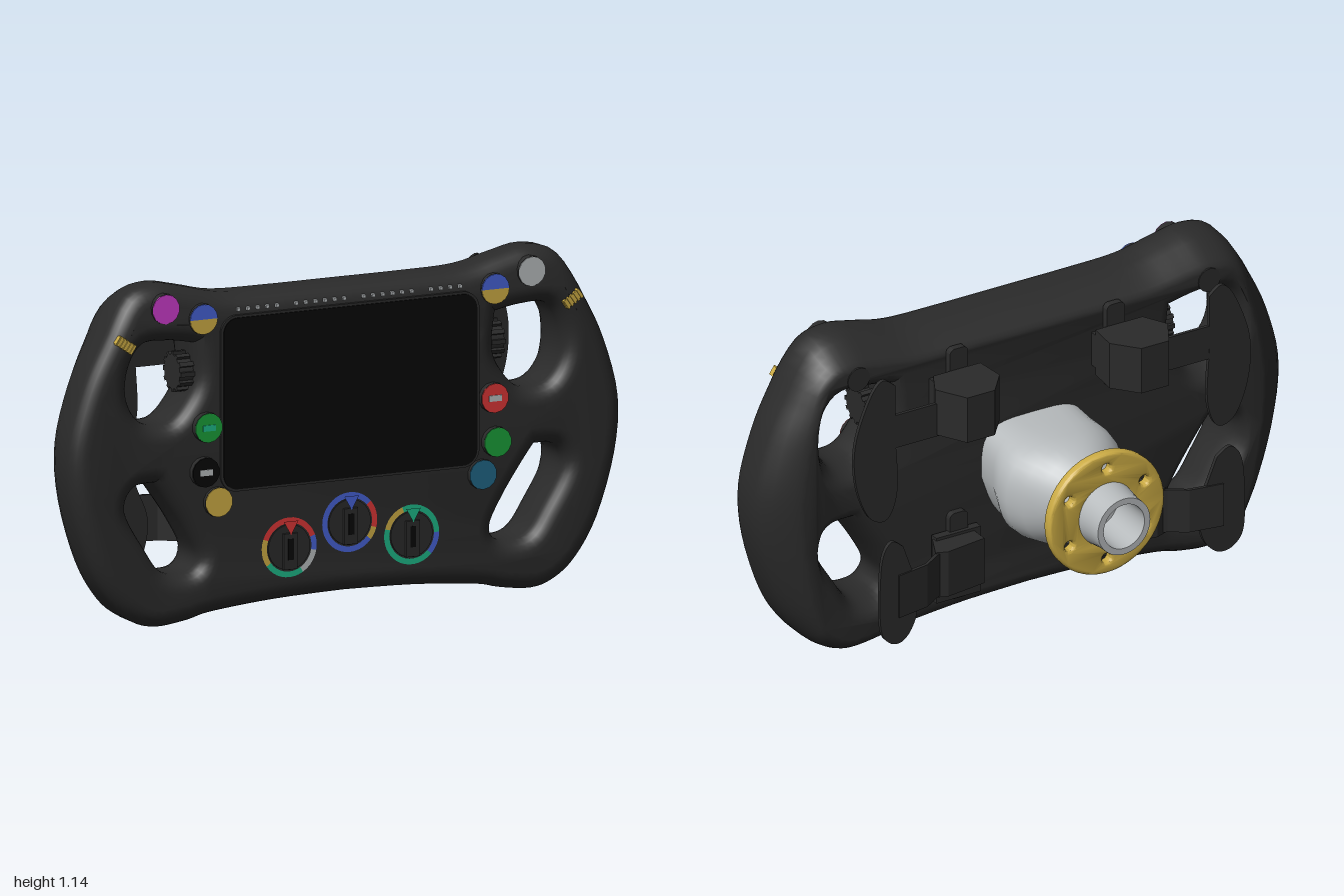
import * as THREE from 'three';
import { toCreasedNormals } from 'three/addons/utils/BufferGeometryUtils.js';

const mat = (name, color) => new THREE.MeshStandardMaterial({ name, color });
const M = {
  body: mat('charcoal', 0x2a2a2a), black: mat('black', 0x060606), silver: mat('silver', 0xb6babc),
  gold: mat('gold', 0xcbab44), blue: mat('blue', 0x4560d2), green: mat('green', 0x1a9c38),
  aqua: mat('aqua', 0x1db586), red: mat('red', 0xd93535), magenta: mat('magenta', 0xc93bc9),
  petrol: mat('petrol', 0x1f6484),
};
const V = (p) => new THREE.Vector2(p[0], p[1]);

export function createModel() {
  const root = new THREE.Group();
  root.name = 'steeringWheel';
  const add = (name, geo, material, x = 0, y = 0, z = 0, parent = root) => {
    const m = new THREE.Mesh(geo, material);
    m.name = name;
    m.position.set(x, y, z);
    parent.add(m);
    return m;
  };
  // closed smooth curve through a few points, optionally mirrored by s
  const loop = (pts, n, s = 1) =>
    new THREE.SplineCurve([...pts, pts[0]].map((p) => V([p[0] * s, p[1]]))).getPoints(n).slice(0, -1);
  const extrude = (shape, depth, z, bevel = 0) => {
    const g = new THREE.ExtrudeGeometry(shape, {
      depth: depth - 2 * bevel, bevelEnabled: bevel > 0, bevelThickness: bevel, bevelSize: bevel,
      bevelOffset: -bevel, bevelSegments: 3, curveSegments: 24 });
    g.translate(0, 0, z + bevel);
    return toCreasedNormals(g, 0.6);
  };
  // prism from an x,z outline, standing between two heights
  const prism = (pts, y0, y1, s) => {
    const g = new THREE.ExtrudeGeometry(new THREE.Shape(pts.map((p) => V([p[0] * s, -p[1]]))),
      { depth: y1 - y0, bevelEnabled: false });
    g.rotateX(-Math.PI / 2);
    g.translate(0, y0, 0);
    return g;
  };
  // cylinder facing +z with its front at z1
  const disc = (r, z0, z1, n = 14, start = 0, len = Math.PI * 2) => {
    const g = new THREE.CylinderGeometry(r, r, z1 - z0, n, 1, false, start, len);
    g.rotateX(Math.PI / 2);
    g.translate(0, 0, (z0 + z1) / 2);
    return g;
  };

  // wheel body with four grip openings and rounded edges, outlined anticlockwise
  const half = [[0, 0.062], [0.25, 0.055], [0.48, 0.035], [0.57, 0.015], [0.68, 0.003], [0.76, 0.025], [0.84, 0.09],
    [0.92, 0.22], [0.985, 0.43], [0.998, 0.62], [0.948, 0.81], [0.877, 0.96], [0.785, 1.11], [0.68, 1.145],
    [0.57, 1.125], [0.44, 1.095], [0.25, 1.09], [0, 1.09]];
  const outline = [...half, ...half.slice(1, -1).reverse().map(([x, y]) => [-x, y])];
  const upperHole = [[0.55, 0.94], [0.64, 0.955], [0.735, 0.95], [0.785, 0.87], [0.788, 0.77], [0.735, 0.69],
    [0.64, 0.68], [0.575, 0.74], [0.54, 0.82]];
  const lowerHole = [[0.69, 0.485], [0.765, 0.475], [0.795, 0.4], [0.725, 0.27], [0.66, 0.185], [0.565, 0.175],
    [0.53, 0.225], [0.575, 0.32], [0.645, 0.425]];
  const shape = new THREE.Shape(loop(outline, 136));
  for (const s of [1, -1]) {
    for (const h of [upperHole, lowerHole]) {
      const pts = loop(h, 45, s);
      shape.holes.push(new THREE.Path(THREE.ShapeUtils.isClockWise(pts) ? pts : pts.reverse()));
    }
  }
  const bodyGeo = new THREE.ExtrudeGeometry(shape, { depth: 0.06, bevelThickness: 0.1, bevelSize: 0.06,
    bevelOffset: -0.06, bevelSegments: 6 });
  bodyGeo.translate(0, 0, 0.24);
  // tighter rounding in front than behind, back tapered at grips and upper corners, upper front leaning back
  const p = bodyGeo.attributes.position;
  for (let i = 0; i < p.count; i++) {
    const x = p.getX(i), y = p.getY(i), z0 = p.getZ(i);
    const z = z0 > 0.27 ? 0.34 + (z0 - 0.3) * 0.6 : 0.14 + (z0 - 0.14) * 1.2;
    const over = Math.abs(x) - 0.8, up = y - 1, t = Math.max(0, (0.27 - z) / 0.13);
    if (over > 0) p.setX(i, Math.sign(x) * (0.8 + over * (1 - 0.45 * t * t)));
    if (up > 0) p.setY(i, 1 + up * (1 - 0.4 * t));
    p.setZ(i, up > 0 && z > 0.3 ? z - 0.15 * up : z);
  }
  add('wheelBody', toCreasedNormals(bodyGeo, 0.6), M.body);

  // display with rounded corners
  const rounded = (x0, y0, x1, y1, r) => {
    const q = new THREE.Shape();
    q.absarc(x1 - r, y1 - r, r, 0, Math.PI / 2);
    q.absarc(x0 + r, y1 - r, r, Math.PI / 2, Math.PI);
    q.absarc(x0 + r, y0 + r, r, Math.PI, Math.PI * 1.5);
    q.absarc(x1 - r, y0 + r, r, Math.PI * 1.5, Math.PI * 2);
    return q;
  };
  add('displayFrame', extrude(rounded(-0.47, 0.44, 0.47, 1.028, 0.06), 0.012, 0.395), M.body);
  add('display', extrude(rounded(-0.46, 0.448, 0.46, 1.02, 0.05), 0.009, 0.402), M.black);

  // row of small lights
  for (let i = 0; i < 24; i++) {
    if (i % 7 === 5) continue;
    add('statusLight', new THREE.BoxGeometry(0.011, 0.011, 0.02), M.silver, -0.4 + i * 0.035, 1.045, 0.391);
  }

  // push buttons: dark sides with a thin coloured face
  const buttons = [['magenta', -0.665, 1.07, 0.398], ['silver', 0.665, 1.07, 0.398], ['green', -0.52, 0.665, 0.42],
    ['red', 0.52, 0.665, 0.42], ['black', -0.53, 0.517, 0.42], ['green', 0.53, 0.517, 0.42],
    ['gold', -0.48, 0.412, 0.414], ['petrol', 0.48, 0.412, 0.414]];
  for (const [c, x, y, z] of buttons) {
    add('buttonSide', disc(0.05, 0.33, z), M.body, x, y);
    add('buttonFace', disc(0.049, z - 0.002, z + 0.003), M[c], x, y);
  }
  for (const [c, x, y] of [['silver', -0.53, 0.517], ['silver', 0.52, 0.665], ['aqua', -0.52, 0.665]]) {
    add('buttonMark', new THREE.BoxGeometry(0.045, 0.02, 0.004), M[c], x, y, 0.424);
  }

  // rotary dials: coloured arcs as [colour, start degrees, sweep degrees]
  const dials = [
    [-0.22, 0.235, 'red', [['red', 20, 140], ['gold', 160, 55], ['aqua', 215, 85], ['silver', 300, 50], ['blue', 350, 30]]],
    [0, 0.298, 'blue', [['blue', 40, 280], ['gold', 320, 25], ['red', 345, 55]]],
    [0.225, 0.235, 'aqua', [['aqua', 0, 110], ['gold', 110, 55], ['aqua', 165, 150], ['blue', 315, 45]]],
  ];
  for (const [x, y, pointer, arcs] of dials) {
    const dial = new THREE.Group();
    dial.name = 'rotaryDial';
    dial.position.set(x, y, 0);
    root.add(dial);
    for (const [c, a, len] of arcs) {
      add('dialArc', new THREE.RingGeometry(0.081, 0.1, Math.ceil(len / 10), 1, a * Math.PI / 180, len * Math.PI / 180),
        M[c], 0, 0, 0.404, dial);
    }
    add('dialBase', disc(0.076, 0.39, 0.405, 24), M.body, 0, 0, 0, dial);
    add('dialKnob', new THREE.BoxGeometry(0.05, 0.12, 0.024), M.body, 0, -0.012, 0.404, dial);
    add('dialSlot', new THREE.BoxGeometry(0.02, 0.07, 0.003), M.black, 0, -0.005, 0.416, dial);
    add('dialPointer', new THREE.CircleGeometry(0.031, 3).rotateZ(-Math.PI / 2), M[pointer], 0, 0.074, 0.4185, dial);
  }

  // parts repeated on both sides
  const upperBlade = [[0.6, 1.03], [0.65, 1.06], [0.7, 1.0], [0.753, 0.85], [0.75, 0.7], [0.7, 0.57], [0.63, 0.547],
    [0.592, 0.65], [0.6, 0.85]];
  const lowerBlade = [[0.6, 0.46], [0.65, 0.49], [0.69, 0.42], [0.695, 0.2], [0.66, 0.125], [0.6, 0.112], [0.55, 0.17],
    [0.535, 0.28], [0.57, 0.38]];
  for (const s of [1, -1]) {
    // two-tone buttons
    add('twoToneSide', disc(0.051, 0.33, 0.402, 16), M.body, s * 0.53, 1.025);
    add('twoToneUpper', disc(0.05, 0.4, 0.406, 8, Math.PI / 2, Math.PI), M.blue, s * 0.53, 1.025);
    add('twoToneLower', disc(0.05, 0.4, 0.406, 8, -Math.PI / 2, Math.PI), M.gold, s * 0.53, 1.025);

    // ribbed gold thumb sliders
    const slider = new THREE.Group();
    slider.name = 'thumbSlider';
    slider.position.set(s * 0.812, 0.965, 0.393);
    slider.rotation.z = s * 0.6;
    root.add(slider);
    add('sliderBase', new THREE.BoxGeometry(0.07, 0.028, 0.022), M.gold, 0, 0, 0, slider);
    for (let i = -2; i <= 2; i++) add('sliderRib', new THREE.BoxGeometry(0.008, 0.034, 0.03), M.gold, i * 0.014, 0, 0, slider);

    // ribbed thumb wheel inside the upper opening
    const wheel = new THREE.Group();
    wheel.name = 'thumbWheel';
    wheel.position.set(s * 0.565, 0.835, 0.29);
    root.add(wheel);
    add('wheelCore', new THREE.CylinderGeometry(0.058, 0.058, 0.05, 20).rotateZ(Math.PI / 2), M.body, 0, 0, 0, wheel);
    for (let i = 0; i < 12; i++) {
      const a = i * Math.PI / 6;
      add('wheelRib', new THREE.BoxGeometry(0.05, 0.015, 0.015), M.body, 0, Math.cos(a) * 0.06, Math.sin(a) * 0.06, wheel).rotation.x = a;
    }

    // round cap on the back of the upper corner
    add('rearCap', disc(0.042, 0.137, 0.3, 20), M.body, s * 0.67, 1.02);

    // upper paddle: mount, housing, arm and blade
    add('upperMount', extrude(rounded(s * 0.3 - 0.035, 0.74, s * 0.3 + 0.035, 1.045, 0.02), 0.025, 0.117), M.body);
    add('upperFoot', new THREE.BoxGeometry(0.18, 0.12, 0.06), M.body, s * 0.31, 0.89, 0.11);
    add('upperHousing', prism([[0.28, -0.075], [0.385, -0.075], [0.445, 0.03], [0.4, 0.115], [0.22, 0.115], [0.21, 0.01]],
      0.805, 0.97, s), M.body);
    add('upperArm', new THREE.BoxGeometry(0.24, 0.12, 0.012), M.body, s * 0.52, 0.86, 0.03);
    add('upperPaddle', extrude(new THREE.Shape(loop(upperBlade, 54, s)), 0.014, 0.023), M.body);

    // lower paddle: mount, housing, arm and angled blade
    add('lowerMount', extrude(rounded(s * 0.3 - 0.035, 0.125, s * 0.3 + 0.035, 0.44, 0.02), 0.025, 0.117), M.body);
    add('lowerFoot', new THREE.BoxGeometry(0.17, 0.24, 0.03), M.body, s * 0.31, 0.255, 0.118);
    add('lowerHousing', prism([[0.25, 0.04], [0.4, 0.02], [0.44, 0.035], [0.4, 0.12], [0.25, 0.12]], 0.2, 0.365, s), M.body);
    add('lowerArm', prism([[0.38, 0.05], [0.44, 0.024], [0.5, -0.014], [0.62, -0.034], [0.62, -0.022], [0.5, -0.002],
      [0.44, 0.038], [0.38, 0.064]], 0.205, 0.36, s), M.body);
    const blade = extrude(new THREE.Shape(loop(lowerBlade, 54, s)), 0.014, -0.01);
    const q = blade.attributes.position;
    for (let i = 0; i < q.count; i++) q.setZ(i, q.getZ(i) - 0.15 * (Math.abs(q.getX(i)) - 0.5));
    add('lowerPaddle', blade, M.body);
  }

  // steering column lofted from a squarish base, narrower below, to a hollow round end:
  // z, half width, half height, centre y, squareness, lower narrowing
  const sections = [[0.15, 0.2, 0.185, 0.535, 4, 0.3], [0.06, 0.205, 0.185, 0.534, 3.4, 0.22], [0, 0.225, 0.187, 0.532, 2.8, 0.12],
    [-0.05, 0.222, 0.186, 0.532, 2.5, 0.05], [-0.11, 0.195, 0.182, 0.535, 2.3, 0], [-0.16, 0.165, 0.165, 0.54, 2.1, 0],
    [-0.21, 0.13, 0.138, 0.545, 2, 0], [-0.25, 0.113, 0.121, 0.547, 2, 0], [-0.32, 0.108, 0.113, 0.548, 2, 0],
    [-0.38, 0.101, 0.103, 0.548, 2, 0], [-0.425, 0.1, 0.102, 0.548, 2, 0], [-0.425, 0.078, 0.08, 0.548, 2, 0],
    [-0.26, 0.075, 0.075, 0.548, 2, 0], [-0.26, 0.001, 0.001, 0.548, 2, 0]];
  const N = 40, pos = [], idx = [];
  sections.forEach(([z, hx, hy, cy, e, low], i) => {
    for (let j = 0; j < N; j++) {
      const a = j / N * Math.PI * 2, c = Math.cos(a), d = Math.sin(a);
      const h = Math.sign(d) * Math.abs(d) ** (2 / e);
      pos.push(hx * Math.sign(c) * Math.abs(c) ** (2 / e) * (1 + low * Math.min(0, h)), cy + hy * h, z);
      if (i === 0) continue;
      const k = (j + 1) % N, A = (i - 1) * N, B = i * N;
      idx.push(A + j, B + j, A + k, B + j, B + k, A + k);
    }
  });
  const column = new THREE.BufferGeometry();
  column.setAttribute('position', new THREE.Float32BufferAttribute(pos, 3));
  column.setIndex(idx);
  add('steeringColumn', toCreasedNormals(column, 0.7), M.silver);

  // gold flange with six bolt holes
  const flange = new THREE.Shape().absarc(0, 0, 0.22, 0, Math.PI * 2);
  flange.holes.push(new THREE.Path().absarc(0, 0, 0.1, 0, Math.PI * 2));
  for (let i = 0; i < 6; i++) {
    const a = i * Math.PI / 3 + Math.PI / 6;
    flange.holes.push(new THREE.Path().absarc(Math.cos(a) * 0.165, Math.sin(a) * 0.165, 0.017, 0, Math.PI * 2));
  }
  add('columnFlange', extrude(flange, 0.04, -0.32, 0.01), M.gold, 0, 0.548, 0);

  return root;
}
